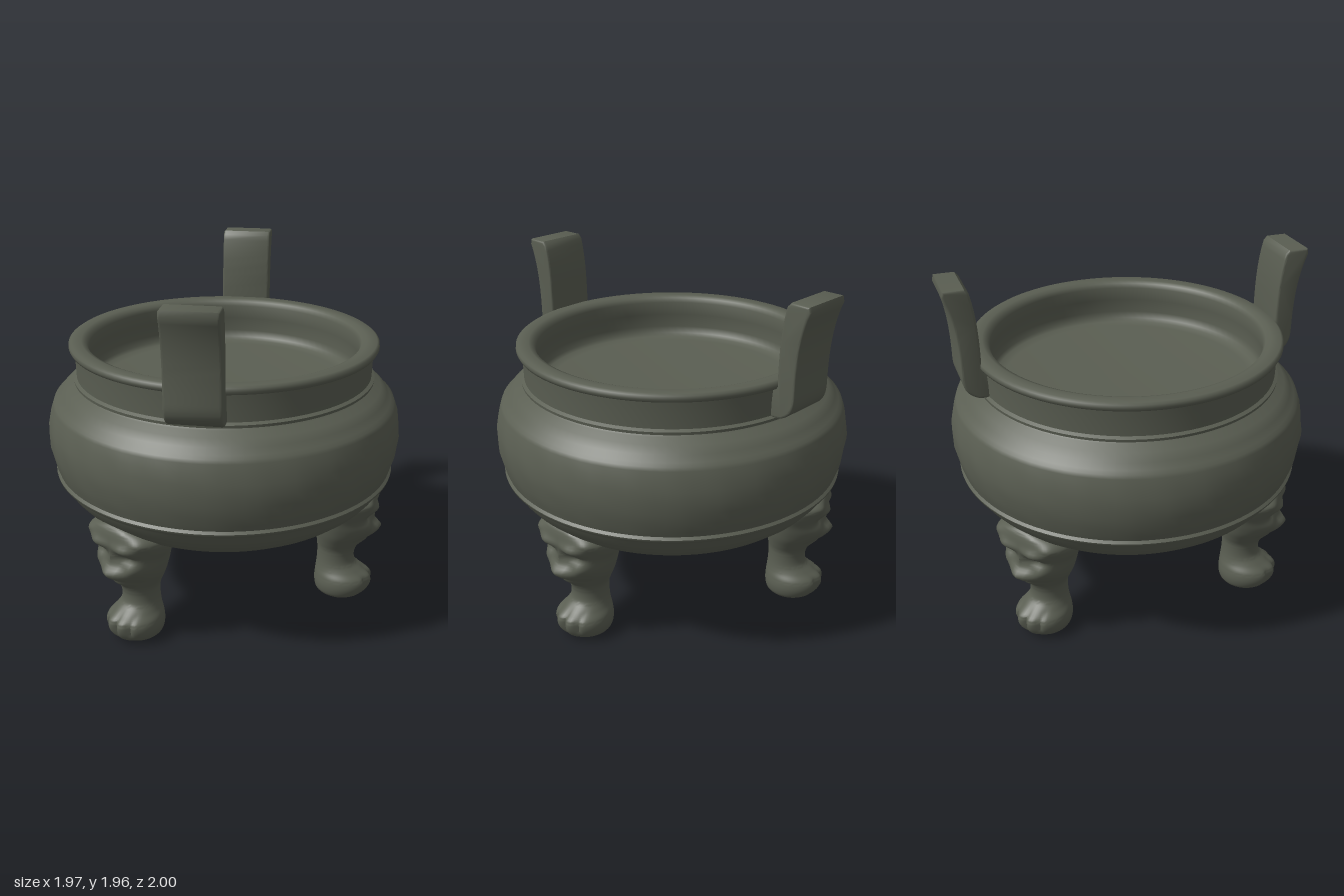
import * as THREE from 'three';
import { toCreasedNormals } from 'three/addons/utils/BufferGeometryUtils.js';

const bronze = new THREE.MeshStandardMaterial({ color: 0x5a5e52 });
bronze.name = 'dark bronze';

function add(parent, name, geometry) {
  const mesh = new THREE.Mesh(geometry, bronze);
  mesh.name = name;
  parent.add(mesh);
  return mesh;
}

// Bowl: outer wall from the bottom up, over the lip, then down to the inner floor
function bowlGeometry() {
  const profile = [
    [0, 0.46], [0.15, 0.463], [0.3, 0.477], [0.45, 0.504], [0.6, 0.547], [0.73, 0.603], [0.8, 0.645],
    [0.86, 0.693], [0.9, 0.74], [0.928, 0.787], [0.937, 0.804], [0.953, 0.812], [0.956, 0.825],
    [0.944, 0.838], [0.954, 0.87], [0.967, 0.92], [0.977, 0.98], [0.981, 1.04], [0.977, 1.1],
    [0.966, 1.16], [0.953, 1.202], [0.946, 1.222], [0.927, 1.235], [0.905, 1.267], [0.87, 1.3],
    [0.822, 1.322], [0.813, 1.33], [0.83, 1.337], [0.832, 1.352], [0.815, 1.362], [0.817, 1.44],
    [0.822, 1.505], [0.842, 1.512], [0.85, 1.528], [0.848, 1.547], [0.835, 1.556], [0.78, 1.556],
    [0.753, 1.545], [0.741, 1.52], [0.75, 1.44], [0.757, 1.36], [0.75, 1.32], [0.73, 1.303],
    [0.68, 1.297], [0, 1.295],
  ].map(([r, y]) => new THREE.Vector2(r, y));
  const geometry = new THREE.LatheGeometry(profile, 96);
  // Worn cast relief, fading out above and below the belly band
  const p = geometry.attributes.position;
  for (let i = 0; i < p.count; i++) {
    const x = p.getX(i), y = p.getY(i), z = p.getZ(i);
    if (y < 0.83 || y > 1.23) continue;
    const a = Math.atan2(z, x);
    const fade = Math.sin(((y - 0.83) / 0.4) * Math.PI);
    const k = 1 + fade * (0.002 + 0.005 * Math.sin(a * 17 + y * 21) * Math.sin(a * 11 - y * 33));
    p.setXYZ(i, x * k, y, z * k);
  }
  return toCreasedNormals(geometry, 0.9);
}

// Upright handle on the front: curved side outline extruded across its width
function handleGeometry() {
  const shape = new THREE.Shape();
  shape.moveTo(0.8, 1.367);
  shape.lineTo(0.845, 1.367);
  shape.bezierCurveTo(0.9, 1.387, 0.923, 1.42, 0.923, 1.49);
  shape.bezierCurveTo(0.923, 1.67, 0.935, 1.8, 0.988, 1.928);
  shape.lineTo(0.984, 1.945);
  shape.lineTo(0.89, 1.945);
  shape.lineTo(0.876, 1.93);
  shape.bezierCurveTo(0.847, 1.82, 0.841, 1.7, 0.841, 1.53);
  shape.lineTo(0.8, 1.51);
  const geometry = new THREE.ExtrudeGeometry(shape, {
    depth: 0.262, bevelEnabled: true, bevelSize: 0.012, bevelThickness: 0.012, bevelSegments: 3, curveSegments: 12,
  });
  geometry.translate(0, 0, -0.131);
  geometry.rotateY(-Math.PI / 2);
  return toCreasedNormals(geometry, 0.7);
}

// Leg facing +x: rounded sections [y, inner x, outer x, half width], smoothed upward
const sections = [
  [0.005, 0.6, 0.8, 0.105], [0.03, 0.56, 0.85, 0.137], [0.08, 0.548, 0.882, 0.154], [0.13, 0.55, 0.88, 0.148],
  [0.17, 0.554, 0.83, 0.122], [0.21, 0.558, 0.785, 0.106], [0.26, 0.56, 0.775, 0.103], [0.31, 0.558, 0.785, 0.11],
  [0.36, 0.552, 0.8, 0.135], [0.42, 0.543, 0.83, 0.168], [0.48, 0.533, 0.85, 0.19],
  [0.54, 0.525, 0.862, 0.207], [0.6, 0.535, 0.875, 0.23], [0.65, 0.56, 0.885, 0.235],
  [0.69, 0.62, 0.88, 0.195], [0.713, 0.66, 0.868, 0.13], [0.726, 0.7, 0.85, 0.07],
];

// Lion mask and claws: mirrored swellings [y, z, height radius, width radius, depth]
const swellings = [
  [0.44, 0, 0.05, 0.12, 0.07], [0.465, 0, 0.025, 0.05, 0.018], [0.37, 0, 0.035, 0.09, 0.03],
  [0.395, 0, 0.012, 0.09, -0.012], [0.54, 0, 0.05, 0.03, 0.022], [0.61, 0.1, 0.03, 0.08, 0.032],
  [0.55, 0.095, 0.022, 0.045, -0.022], [0.49, 0.14, 0.045, 0.05, 0.03], [0.66, 0.2, 0.035, 0.05, 0.03],
  [0.1, 0, 0.055, 0.016, -0.025], [0.1, 0.08, 0.055, 0.016, -0.025],
];

function legGeometry() {
  const spline = (pick) => new THREE.CatmullRomCurve3(sections.map(pick), false, 'catmullrom');
  const depths = spline(([y, x0, x1]) => new THREE.Vector3(x0, y, x1));
  const widths = spline(([y, , , w]) => new THREE.Vector3(w, y, 0));
  const n = 56, rings = 81, pos = [], index = [];
  for (let i = 0; i < rings; i++) {
    const t = i / (rings - 1);
    const { x: x0, y, z: x1 } = depths.getPoint(t);
    const w = widths.getPoint(t).x;
    // The mask is broader across its front than the round column
    const broad = 1 - 0.35 * THREE.MathUtils.smoothstep(y, 0.33, 0.5);
    for (let j = 0; j < n; j++) {
      const a = (j / n) * Math.PI * 2;
      const c = Math.cos(a), s = Math.sin(a);
      const z = w * Math.sign(s) * Math.abs(s) ** (c > 0 ? broad : 1);
      let swell = 0;
      for (const [by, bz, ry, rz, h] of swellings)
        swell += h * Math.exp(-(((y - by) / ry) ** 2) - ((Math.abs(z) - bz) / rz) ** 2);
      pos.push((x0 + x1) / 2 + ((x1 - x0) / 2) * c + swell * Math.sqrt(Math.max(0, c)), y, z);
    }
  }
  for (let i = 0; i < rings - 1; i++)
    for (let j = 0; j < n; j++) {
      const a = i * n + j, b = i * n + ((j + 1) % n);
      index.push(a, a + n, b, b, a + n, b + n);
    }
  // Sole and top caps
  const top = (rings - 1) * n;
  pos.push(0.7, 0.002, 0, 0.78, 0.73, 0);
  for (let j = 0; j < n; j++) {
    const k = (j + 1) % n;
    index.push(top + n, j, k, top + n + 1, top + k, top + j);
  }
  const geometry = new THREE.BufferGeometry();
  geometry.setAttribute('position', new THREE.Float32BufferAttribute(pos, 3));
  geometry.setIndex(index);
  return toCreasedNormals(geometry, 0.9);
}

export function createModel() {
  const model = new THREE.Group();
  model.name = 'tripodVessel';
  add(model, 'bowl', bowlGeometry());

  const handle = handleGeometry();
  add(model, 'frontHandle', handle);
  add(model, 'backHandle', handle).rotation.y = Math.PI;

  // The two right legs stand slightly farther out than the left one
  const leg = legGeometry();
  [['leftLeg', 0, 0], ['backRightLeg', 122, 0.025], ['frontRightLeg', -122, 0.025]].forEach(([name, degrees, out]) => {
    const mesh = add(model, name, leg);
    mesh.rotation.y = THREE.MathUtils.degToRad(degrees);
    mesh.translateX(out);
  });
  return model;
}
